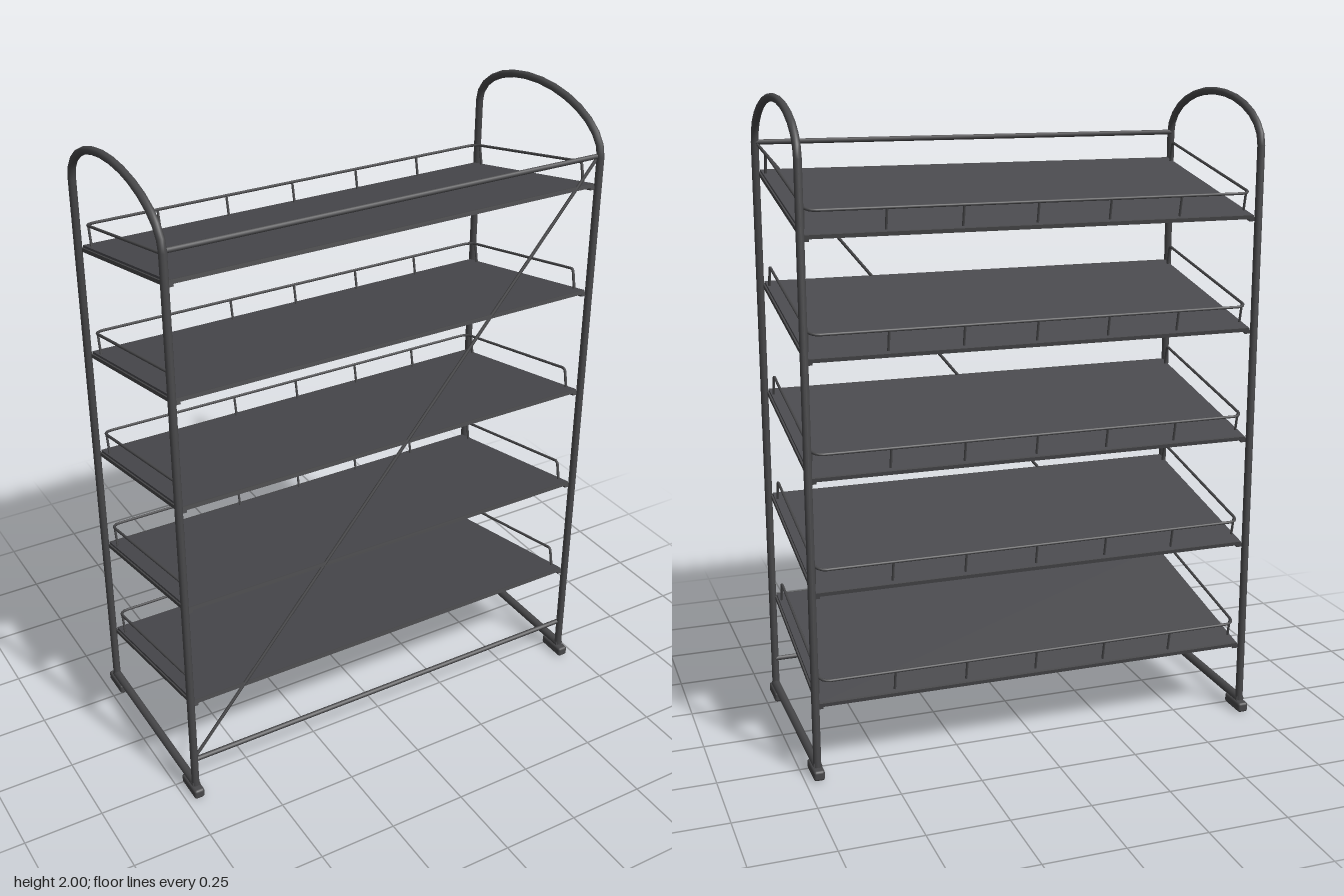
import * as THREE from 'three';
import { RoundedBoxGeometry } from 'three/addons/geometries/RoundedBoxGeometry.js';

// Piecewise straight path whose rings sit exactly on the given points
class Polyline extends THREE.Curve {
  constructor(points) { super(); this.points = points; }
  getPoint(t) {
    const n = this.points.length - 1;
    const i = Math.min(Math.floor(t * n + 1e-6), n - 1);
    return this.points[i].clone().lerp(this.points[i + 1], t * n - i);
  }
  getPointAt(t) { return this.getPoint(t); }
  getTangentAt(t) {
    const p = this.points, i = Math.round(t * (p.length - 1)), dir = new THREE.Vector3();
    if (i > 0) dir.add(p[i].clone().sub(p[i - 1]).normalize());
    if (i < p.length - 1) dir.add(p[i + 1].clone().sub(p[i]).normalize());
    return dir.normalize();
  }
}

const V = (x, y, z) => new THREE.Vector3(x, y, z);

export function createModel() {
  const model = new THREE.Group();
  model.name = 'slantedShelfRack';
  const frameMat = new THREE.MeshStandardMaterial({ color: 0x48484a });
  frameMat.name = 'dark grey frame';
  const shelfMat = new THREE.MeshStandardMaterial({ color: 0x4a4a4e });
  shelfMat.name = 'charcoal shelf';

  const add = (parent, name, geometry, material, x = 0, y = 0, z = 0) => {
    const mesh = new THREE.Mesh(geometry, material);
    mesh.name = name;
    mesh.position.set(x, y, z);
    parent.add(mesh);
    return mesh;
  };
  const tube = (parent, name, points, radius, sides = 10) =>
    add(parent, name, new THREE.TubeGeometry(new Polyline(points), points.length - 1, radius, sides), frameMat);
  const rod = (parent, name, a, b, radius) => {
    const mesh = add(parent, name, new THREE.CylinderGeometry(radius, radius, a.distanceTo(b), 8), frameMat);
    mesh.position.copy(a).lerp(b, 0.5);
    mesh.quaternion.setFromUnitVectors(V(0, 1, 0), b.clone().sub(a).normalize());
  };

  const sideX = 0.708, legZ = 0.313;

  // Arched end frames with base tubes and feet
  for (const s of [-1, 1]) {
    const end = new THREE.Group();
    end.name = s > 0 ? 'leftEndFrame' : 'rightEndFrame';
    end.position.x = s * sideX;
    model.add(end);
    const arch = [V(0, 0.035, legZ)];
    for (let i = 0; i <= 14; i++) {
      const a = Math.PI * i / 14;
      arch.push(V(0, 1.838 + 0.15 * Math.sin(a), legZ * Math.cos(a)));
    }
    arch.push(V(0, 0.035, -legZ));
    tube(end, 'archedLegs', arch, 0.012);
    rod(end, 'baseTube', V(0, 0.038, -0.32), V(0, 0.038, 0.32), 0.014);
    for (const f of [-1, 1]) {
      add(end, 'foot', new RoundedBoxGeometry(0.034, 0.032, 0.1, 2, 0.008), frameMat, 0, 0.016, f * 0.295);
    }
  }

  // Front cross bars and diagonal brace
  rod(model, 'topBar', V(-sideX, 1.84, 0.308), V(sideX, 1.84, 0.308), 0.008);
  rod(model, 'bottomBar', V(-sideX, 0.13, 0.308), V(sideX, 0.13, 0.308), 0.008);
  rod(model, 'diagonalBrace', V(-0.703, 0.135, 0.306), V(0.703, 1.835, 0.306), 0.005);

  // Five sloping shelves, high at the front, each with a wire guard rail
  const railX = 0.687, railH = 0.063, railBack = -0.292, corner = 0.03;
  for (let i = 0; i < 5; i++) {
    const shelf = new THREE.Group();
    shelf.name = 'shelf' + (i + 1);
    shelf.position.y = 0.296 + i * 0.349;
    shelf.rotation.x = -0.205;
    model.add(shelf);

    add(shelf, 'shelfPanel', new THREE.BoxGeometry(1.39, 0.008, 0.622), shelfMat, 0, -0.004, 0);
    for (const s of [-1, 1]) {
      add(shelf, 'sideRunner', new THREE.BoxGeometry(0.018, 0.012, 0.63), frameMat, s * 0.691, -0.013, 0);
    }
    add(shelf, 'frontLip', new THREE.BoxGeometry(1.39, 0.012, 0.008), frameMat, 0, -0.006, 0.311);
    add(shelf, 'backLip', new THREE.BoxGeometry(1.39, 0.012, 0.008), frameMat, 0, -0.006, -0.311);

    // Half of the rail, from the front foot to the rounded back corner, then mirrored
    const half = [V(railX, -0.004, 0.273), V(railX, railH - 0.01, 0.273),
      V(railX, railH - 0.003, 0.27), V(railX, railH, 0.263)];
    for (let k = 0; k <= 4; k++) {
      const a = k / 4 * Math.PI / 2;
      half.push(V(railX - corner + corner * Math.cos(a), railH, railBack + corner - corner * Math.sin(a)));
    }
    const mirrored = half.map(p => V(-p.x, p.y, p.z)).reverse();
    tube(shelf, 'guardRail', [...half, ...mirrored], 0.0045, 8);

    // Rail posts along the back and at the rear of each side
    for (let k = -2; k <= 2; k++) {
      rod(shelf, 'railPost', V(k * 0.228, -0.004, railBack), V(k * 0.228, railH, railBack), 0.004);
    }
    for (const s of [-1, 1]) {
      rod(shelf, 'sideRailPost', V(s * railX, -0.004, -0.262), V(s * railX, railH, -0.262), 0.004);
    }
  }
  return model;
}
